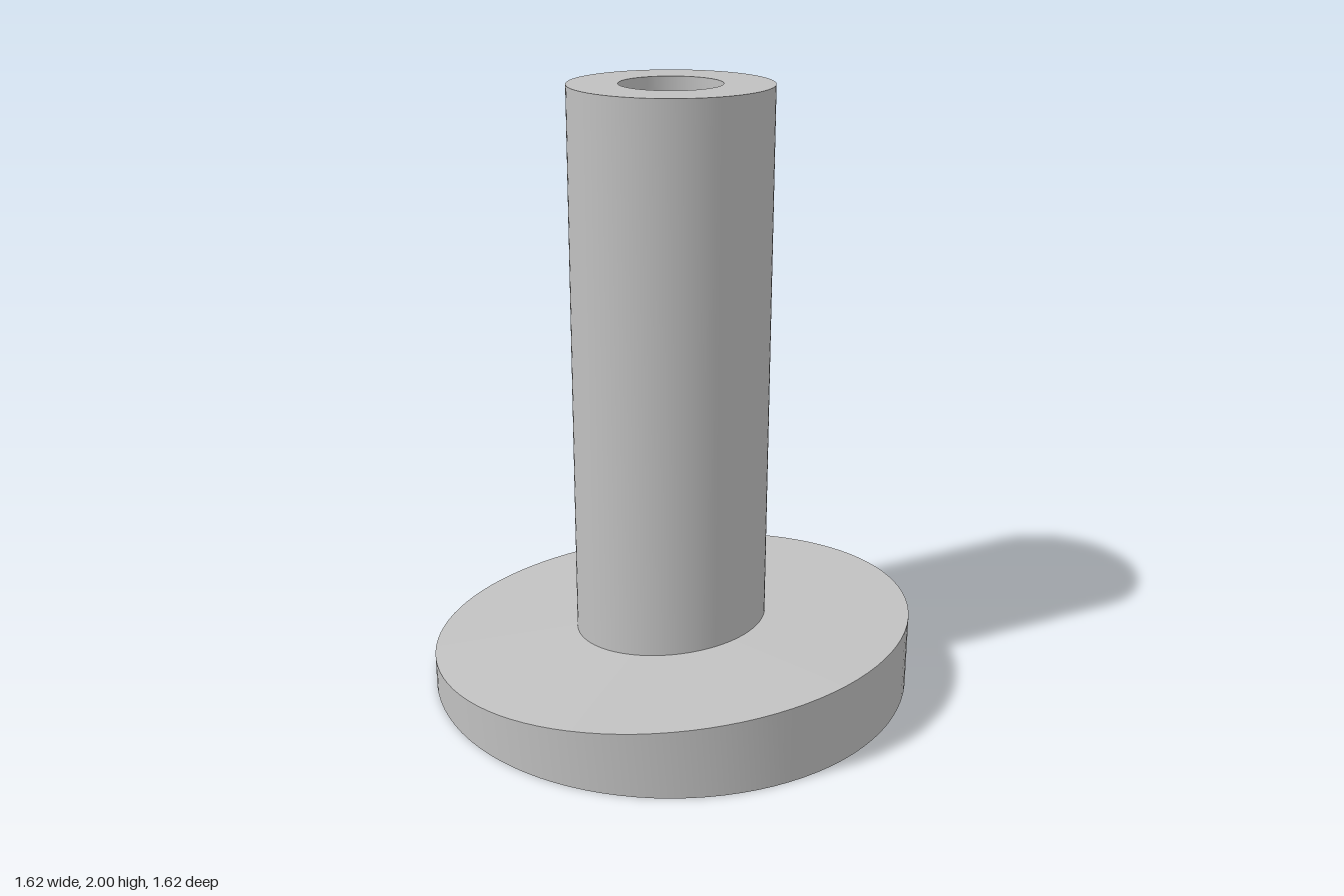
import * as THREE from 'three';
import { toCreasedNormals } from 'three/addons/utils/BufferGeometryUtils.js';

const BORE = 0.162, TUBE = 0.322, RIM = 0.808;
const RIM_Y = 0.17, NECK_Y = 0.188, SLOPE = 0.117;

// Lathe a profile, then tilt the rings that lie on the sloping flange top
function slopedLathe(profile) {
  const geometry = new THREE.LatheGeometry(profile.map(([r, y]) => new THREE.Vector2(r, y)), 96);
  const pos = geometry.attributes.position;
  for (let i = 0; i < pos.count; i++) {
    const y = pos.getY(i);
    if (y > 0.1 && y < 0.3) pos.setY(i, y + SLOPE * pos.getZ(i));
  }
  return toCreasedNormals(geometry, 0.5);
}

export function createModel() {
  const model = new THREE.Group();
  model.name = 'flangedTube';
  const grey = new THREE.MeshStandardMaterial({ color: 0xc0c0c0 });
  grey.name = 'grey';

  const add = (name, profile) => {
    const mesh = new THREE.Mesh(slopedLathe(profile), grey);
    mesh.name = name;
    model.add(mesh);
  };

  // Wedge-shaped round base: underside, rim and slightly conical sloping top
  add('flange', [[BORE, 0], [RIM, 0], [RIM, RIM_Y], [TUBE, NECK_Y]]);

  // Tube wall, top ring and bore running down through the flange
  add('tube', [[TUBE, NECK_Y], [TUBE, 2], [BORE, 2], [BORE, 0]]);

  return model;
}
